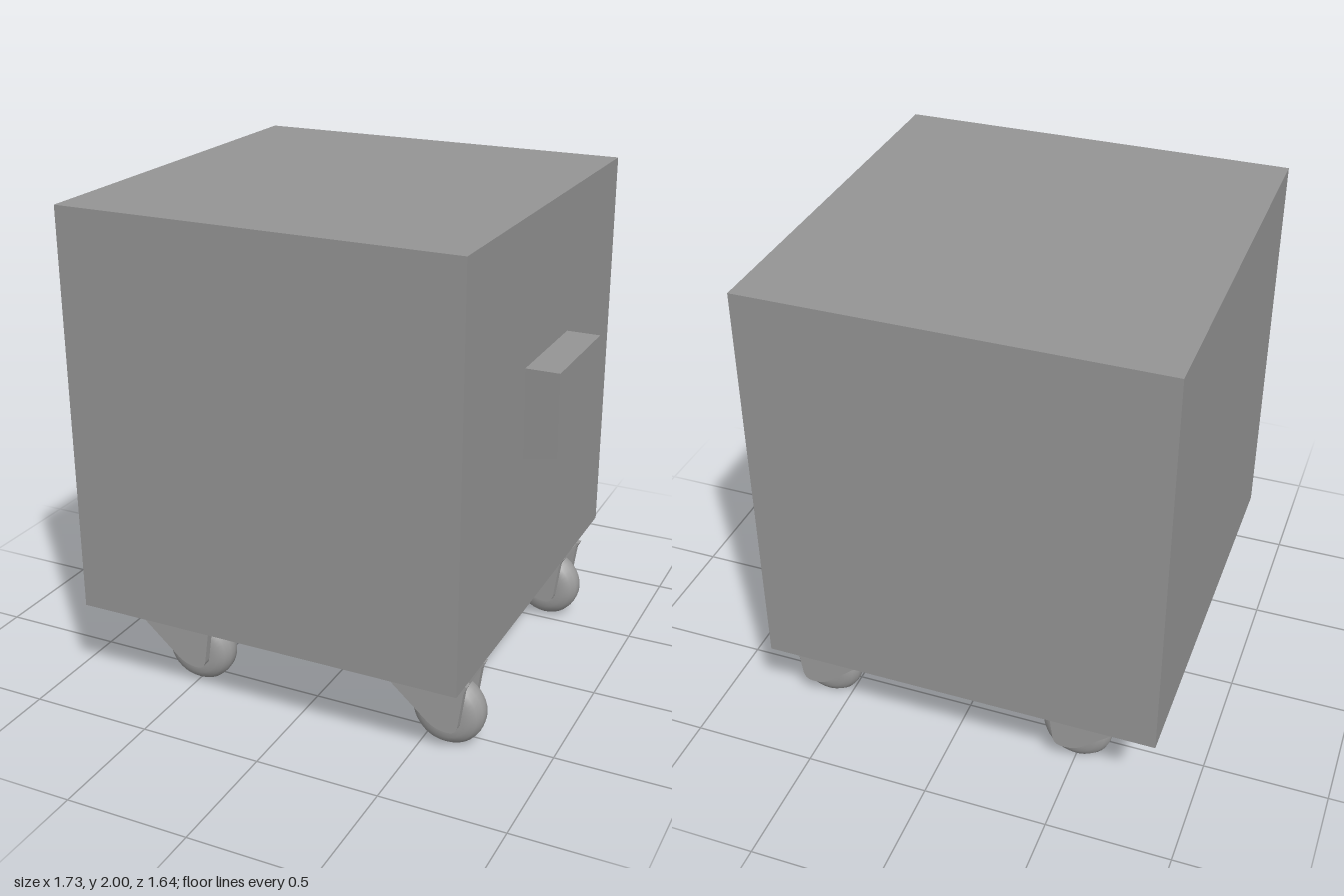
import * as THREE from 'three';

const bodyMaterial = new THREE.MeshStandardMaterial({ color: 0x949494 });
const casterMaterial = new THREE.MeshStandardMaterial({ color: 0x9c9c9c });

function addMesh(parent, name, geometry, material, x = 0, y = 0, z = 0) {
  const mesh = new THREE.Mesh(geometry, material);
  mesh.name = name;
  mesh.position.set(x, y, z);
  parent.add(mesh);
  return mesh;
}

// Side plate of the fork: long sloped edge and rounded lower end.
function forkPlateGeometry(thickness) {
  const s = new THREE.Shape();
  s.moveTo(-0.15, 0.318);
  s.lineTo(-0.15, 0.294);
  s.lineTo(0.03, 0.132);
  s.quadraticCurveTo(0.065, 0.102, 0.115, 0.102);
  s.quadraticCurveTo(0.148, 0.102, 0.154, 0.137);
  s.lineTo(0.175, 0.287);
  s.lineTo(0.19, 0.318);
  s.closePath();
  const g = new THREE.ExtrudeGeometry(s, { depth: thickness, bevelEnabled: false, curveSegments: 6 });
  return g.translate(0, 0, -thickness / 2);
}

// Solid wheel with a broad rounded tread, spinning about z.
function wheelGeometry() {
  const profile = [
    [0, -0.066], [0.07, -0.066], [0.1, -0.061], [0.125, -0.048], [0.142, -0.025],
    [0.145, 0], [0.142, 0.025], [0.125, 0.048], [0.1, 0.061], [0.07, 0.066], [0, 0.066],
  ].map(([r, y]) => new THREE.Vector2(r, y));
  return new THREE.LatheGeometry(profile, 36).rotateX(Math.PI / 2);
}

// Swivel caster; its origin is on the floor under the stem axis.
function createCaster() {
  const caster = new THREE.Group();
  caster.name = 'caster';
  const stem = new THREE.CylinderGeometry(0.091, 0.097, 0.065, 28);
  addMesh(caster, 'swivelStem', stem, casterMaterial, 0, 0.3455, 0);
  const top = new THREE.BoxGeometry(0.33, 0.018, 0.2);
  addMesh(caster, 'forkTop', top, casterMaterial, 0.015, 0.308, 0);
  const plate = forkPlateGeometry(0.032);
  for (const side of [-1, 1]) addMesh(caster, 'forkPlate', plate, casterMaterial, 0, 0, side * 0.095);
  addMesh(caster, 'wheel', wheelGeometry(), casterMaterial, 0.083, 0.145, 0);
  return caster;
}

export function createModel() {
  const model = new THREE.Group();
  model.name = 'rollingCabinet';

  // Plain cabinet body
  const body = new THREE.BoxGeometry(1.595, 1.627, 1.645);
  addMesh(model, 'cabinetBody', body, bodyMaterial, -0.07, 1.1865, 0);

  // Side handle block: sloped underside and a slightly slanted front edge
  const handle = new THREE.BoxGeometry(0.134, 0.365, 0.478).toNonIndexed();
  handle.translate(0.797, 1.2475, -0.01);
  const p = handle.attributes.position;
  for (let i = 0; i < p.count; i++) {
    if (p.getY(i) > 1.2) continue;
    if (p.getX(i) > 0.8) p.setY(i, 1.09);
    if (p.getZ(i) > 0) p.setZ(i, 0.213);
  }
  handle.computeVertexNormals();
  addMesh(model, 'sideHandle', handle, bodyMaterial);

  // Four casters trailing towards +x, the rear pair swivelled slightly
  for (const x of [-0.58, 0.514]) {
    for (const z of [0.553, -0.58]) {
      const caster = createCaster();
      caster.position.set(x, 0, z);
      caster.rotation.y = z < 0 ? -0.06 : 0.02;
      model.add(caster);
    }
  }
  return model;
}
